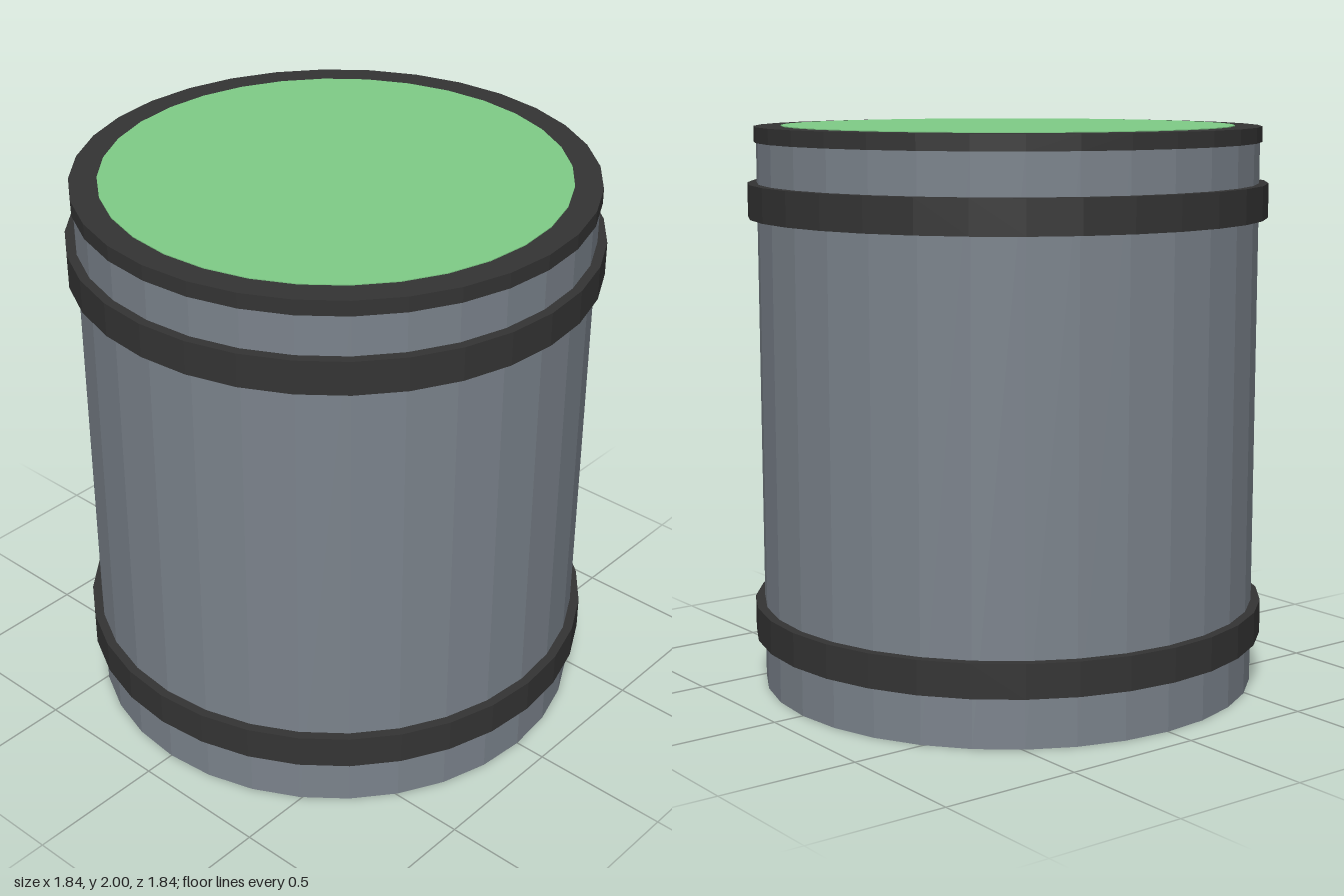
import * as THREE from 'three';

const SIDES = 32;

export function createModel() {
  const mat = (name, color) => {
    const m = new THREE.MeshStandardMaterial({ color });
    m.name = name;
    m.flatShading = true;
    return m;
  };
  const steel = mat('greySteel', 0x7b838c);
  const dark = mat('darkRubber', 0x343434);
  const green = mat('greenFill', 0x7fcc87);

  const group = new THREE.Group();
  group.name = 'barrel';
  const add = (name, geometry, material) => {
    const mesh = new THREE.Mesh(geometry, material);
    mesh.name = name;
    group.add(mesh);
  };
  // Upright cylinder between two heights
  const drum = (r, y0, y1) =>
    new THREE.CylinderGeometry(r, r, y1 - y0, SIDES).translate(0, (y0 + y1) / 2, 0);
  // Hoop wrapped around the body
  const hoop = (r, y0, y1) =>
    new THREE.LatheGeometry(
      [[0.87, y0], [r, y0], [r, y1], [0.87, y1]].map(([x, y]) => new THREE.Vector2(x, y)), SIDES);

  add('body', drum(0.887, 0, 1.96), steel);
  add('lowerBand', hoop(0.92, 0.18, 0.30), dark);
  add('upperBand', hoop(0.92, 1.68, 1.80), dark);
  add('lidRim', drum(0.895, 1.943, 1.997), dark);

  // Thin coloured disc set on the lid
  add('lidDisc', drum(0.8, 1.994, 2), green);

  return group;
}
